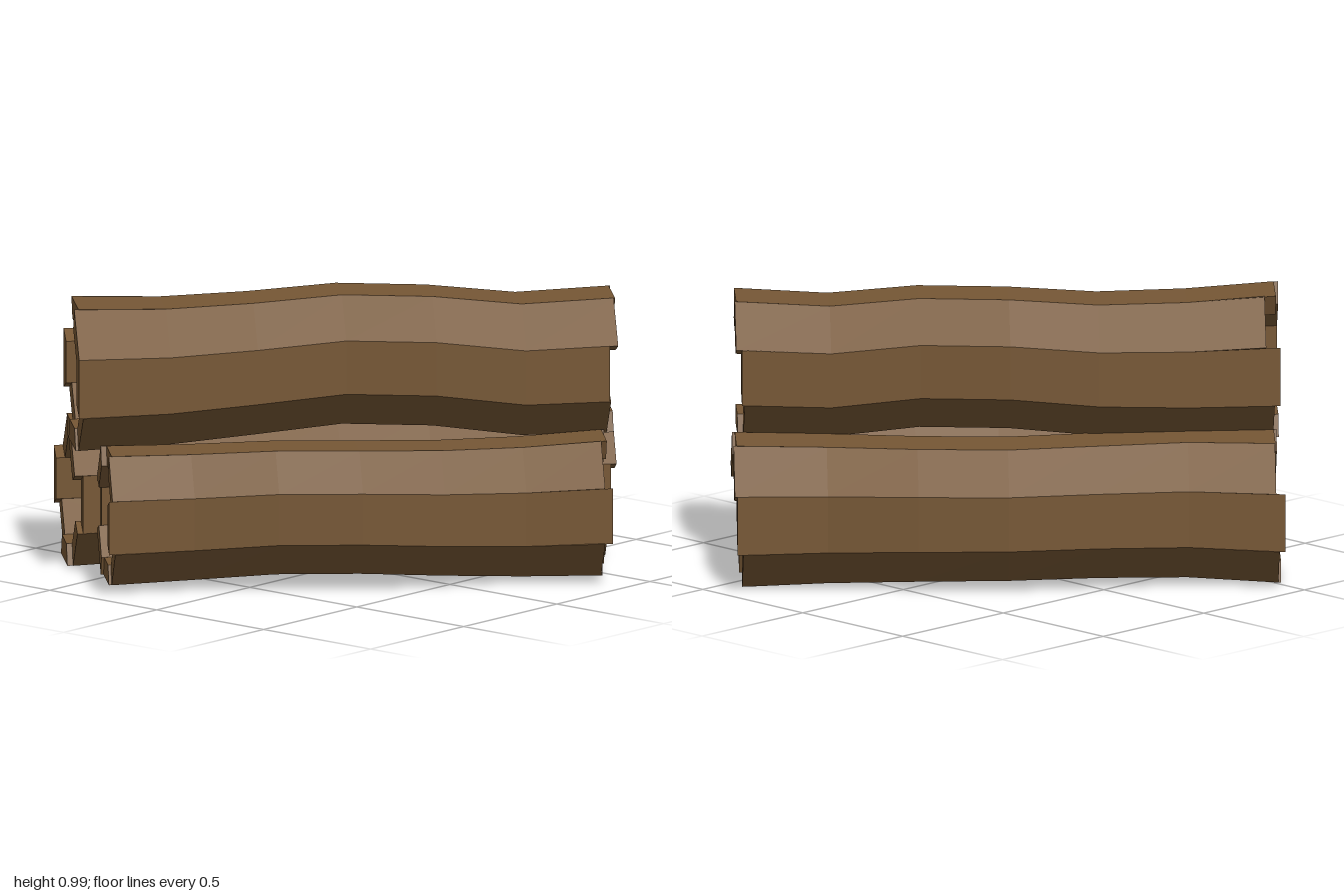
import * as THREE from 'three';

const bark = new THREE.MeshStandardMaterial({ color: 0x765735, flatShading: true });
bark.name = 'bark';
const wood = new THREE.MeshStandardMaterial({ color: 0xaa9565, flatShading: true });
wood.name = 'pale wood';

const SIDES = 8, SEGS = 6, HOLLOW = 0.71;

// value of a list at a fractional ring
const at = (list, i) => {
  const k = Math.min(Math.floor(i), list.length - 2);
  return THREE.MathUtils.lerp(list[k], list[k + 1], i - k);
};

// collects quads and triangles; flip reverses the facing
function surface() {
  const pts = [];
  return {
    face(corners, flip = false) {
      const c = flip ? [...corners].reverse() : corners;
      for (let i = 1; i < c.length - 1; i++) pts.push(c[0], c[i], c[i + 1]);
    },
    mesh(name, material) {
      const g = new THREE.BufferGeometry().setFromPoints(pts);
      g.computeVertexNormals();
      const m = new THREE.Mesh(g, material);
      m.name = name;
      return m;
    },
  };
}

// a crooked eight-sided log with hollow ends, made of staves;
// width, height and depth are [front, back], depth counts rings,
// jut is how far each stave sticks out at the front and back
function makeLog({ name, front, back, width, height, depth, sway, lift, jut }) {
  const a = new THREE.Vector3(...front), b = new THREE.Vector3(...back);
  const axis = b.clone().sub(a).normalize();
  const up = new THREE.Vector3(0, 1, 0);
  const side = axis.clone().cross(up).normalize();

  // corner j of ring i, scaled inward by k and pushed along the axis
  const corner = (i, j, k = 1, push = 0) => {
    const t = ((j - 0.5) / SIDES) * Math.PI * 2;
    const f = i / SEGS;
    const waist = 1 - 0.065 * Math.sin(Math.PI * f);
    const r = (k * waist) / Math.cos(Math.PI / SIDES);
    return a.clone().lerp(b, f)
      .addScaledVector(side, at(sway, i) + Math.cos(t) * at(width, f) * r)
      .addScaledVector(up, at(lift, i) + Math.sin(t) * at(height, f) * r)
      .addScaledVector(axis, push);
  };

  const shell = surface(), core = surface();
  const ends = [
    { end: 0, next: 1, deep: depth[0], flip: false },
    { end: SEGS, next: SEGS - 1, deep: SEGS - depth[1], flip: true },
  ];
  for (let j = 0; j < SIDES; j++) {
    // middle of the bark
    for (let i = 1; i < SEGS - 1; i++) {
      shell.face([corner(i, j), corner(i + 1, j), corner(i + 1, j + 1), corner(i, j + 1)]);
    }
    // ragged hollow stave at each end
    ends.forEach(({ end, next, deep, flip }, e) => {
      const p = flip ? jut[e][j] : -jut[e][j];
      const o0 = corner(end, j, 1, p), o1 = corner(end, j + 1, 1, p);
      const n0 = corner(end, j, HOLLOW, p), n1 = corner(end, j + 1, HOLLOW, p);
      const O0 = corner(next, j), O1 = corner(next, j + 1);
      const N0 = corner(next, j, HOLLOW), N1 = corner(next, j + 1, HOLLOW);
      shell.face([o0, O0, O1, o1], flip);
      shell.face([n0, n1, N1, N0], flip);
      shell.face([N0, N1, corner(deep, j + 1, HOLLOW), corner(deep, j, HOLLOW)], flip);
      shell.face([o0, o1, n1, n0], flip);
      shell.face([o0, n0, N0, O0], flip);
      shell.face([o1, O1, N1, n1], flip);
    });
  }
  // pale wood deep inside each end
  for (const { deep, flip } of ends) {
    core.face(Array.from({ length: SIDES }, (_, j) => corner(deep, j, HOLLOW)), flip);
  }

  const log = new THREE.Group();
  log.name = name;
  log.add(shell.mesh('barkShell', bark), core.mesh('woodCore', wood));
  return log;
}

export function createModel() {
  const model = new THREE.Group();
  model.name = 'logPile';
  model.add(
    makeLog({
      name: 'lowerRearLog', front: [-0.785, 0.258, 0.58], back: [0.522, 0.258, -0.815],
      width: [0.265, 0.258], height: [0.252, 0.255], depth: [1.14, 1.6],
      sway: [0, 0.012, -0.037, -0.081, -0.052, 0.007, 0],
      lift: [0, 0.01, 0.015, 0.015, 0.01, 0, 0],
      jut: [[-0.03, 0, -0.01, -0.012, 0.02, 0, 0.01, -0.01], [-0.01, 0.01, 0, 0.01, 0, -0.02, -0.03, -0.015]],
    }),
    makeLog({
      name: 'lowerFrontLog', front: [-0.385, 0.262, 0.83], back: [0.82, 0.27, -0.46],
      width: [0.218, 0.237], height: [0.232, 0.242], depth: [1.5, 1.15],
      sway: [0.005, -0.018, 0.035, 0.064, 0.02, -0.038, 0],
      lift: [0, 0, 0.02, 0.02, 0, -0.015, 0],
      jut: [[0.012, 0, -0.01, 0.01, 0, 0.01, 0, -0.01], [0.008, -0.02, 0, 0.01, -0.01, 0.01, -0.015, -0.02]],
    }),
    makeLog({
      name: 'upperLog', front: [-0.6, 0.73, 0.75], back: [0.68, 0.738, -0.64],
      width: [0.272, 0.252], height: [0.255, 0.242], depth: [1.36, 1.55],
      sway: [0, -0.032, -0.076, -0.08, -0.033, -0.012, 0],
      lift: [0, -0.005, 0.005, 0.03, 0.025, -0.01, 0],
      jut: [[0.015, 0.015, 0, -0.04, 0.01, -0.01, 0.01, 0], [-0.02, 0.01, 0.015, 0.02, 0, -0.01, 0.01, -0.015]],
    }),
  );
  return model;
}
